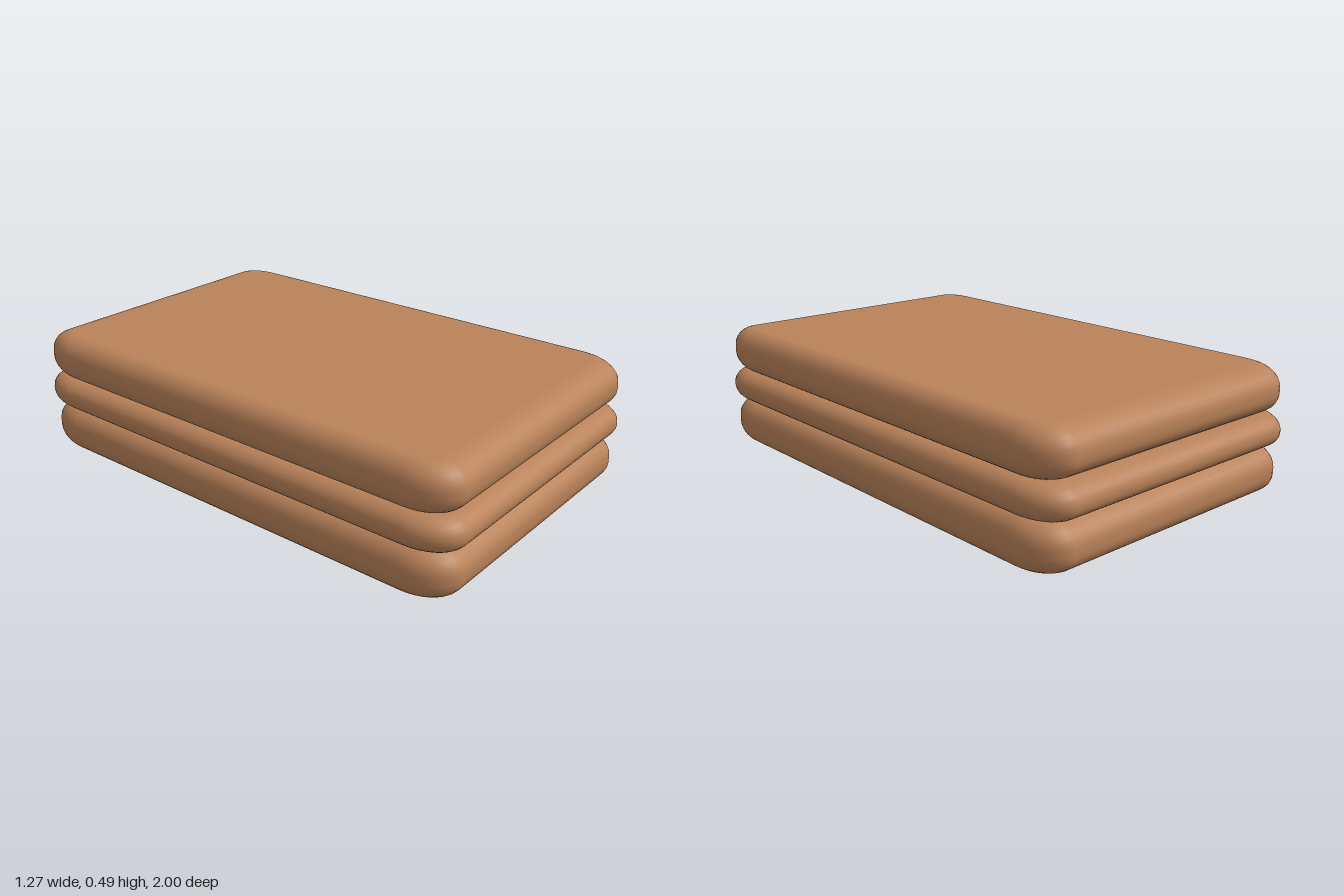
import * as THREE from 'three';

const CORNER = 8; // segments per plan corner
const ARC = 7; // segments per rounded edge

// Rounded-rectangle plan loop with elliptical corners, counter-clockwise seen from below
function planLoop(hx, hz, rx, rz) {
  const points = [];
  for (let q = 0; q < 4; q++) {
    const sx = q === 0 || q === 3 ? 1 : -1;
    const sz = q < 2 ? 1 : -1;
    for (let i = 0; i <= CORNER; i++) {
      const a = (q + i / CORNER) * Math.PI / 2;
      points.push([sx * (hx - rx) + rx * Math.cos(a), sz * (hz - rz) + rz * Math.sin(a)]);
    }
  }
  return points;
}

// Soft slab lofted from stacked plan loops whose inset follows a rounded edge
function slabGeometry({ hx, hz, y0, y1, ex, ey, ez }) {
  const levels = [];
  for (let i = 0; i <= ARC; i++) {
    const a = (i / ARC - 1) * Math.PI / 2;
    levels.push([y0 + ey * (1 + Math.sin(a)), 1 - Math.cos(a)]);
  }
  for (let i = 0; i <= ARC; i++) {
    const a = (i / ARC) * Math.PI / 2;
    levels.push([y1 - ey * (1 - Math.sin(a)), 1 - Math.cos(a)]);
  }
  const positions = [];
  const index = [];
  const n = 4 * (CORNER + 1);
  for (const [y, inset] of levels) {
    const ix = ex * inset, iz = ez * inset;
    for (const [x, z] of planLoop(hx - ix, hz - iz, 0.12 - ix, 0.18 - iz)) positions.push(x, y, z);
  }
  for (let l = 0; l < levels.length - 1; l++) {
    for (let i = 0; i < n; i++) {
      const a = l * n + i, b = l * n + (i + 1) % n;
      index.push(a, a + n, b, b, a + n, b + n);
    }
  }
  // Flat bottom and top
  const bottom = positions.length / 3, top = bottom + 1;
  positions.push(0, y0, 0, 0, y1, 0);
  const last = (levels.length - 1) * n;
  for (let i = 0; i < n; i++) {
    const j = (i + 1) % n;
    index.push(bottom, i, j, top, last + j, last + i);
  }
  const geometry = new THREE.BufferGeometry();
  geometry.setAttribute('position', new THREE.Float32BufferAttribute(positions, 3));
  geometry.setIndex(index);
  geometry.computeVertexNormals();
  return geometry;
}

export function createModel() {
  const group = new THREE.Group();
  group.name = 'layeredBlock';
  const brown = new THREE.MeshStandardMaterial({ color: 0xb98259 });
  brown.name = 'warm brown';

  // Two thick layers around a thinner, slightly wider filling
  const layers = {
    bottomLayer: { hx: 0.63, hz: 0.988, y0: 0, y1: 0.186, ex: 0.075, ey: 0.08, ez: 0.11 },
    middleLayer: { hx: 0.637, hz: 1, y0: 0.183, y1: 0.313, ex: 0.07, ey: 0.06, ez: 0.09 },
    topLayer: { hx: 0.63, hz: 0.988, y0: 0.31, y1: 0.492, ex: 0.075, ey: 0.08, ez: 0.11 },
  };
  for (const [name, size] of Object.entries(layers)) {
    const mesh = new THREE.Mesh(slabGeometry(size), brown);
    mesh.name = name;
    group.add(mesh);
  }
  return group;
}
